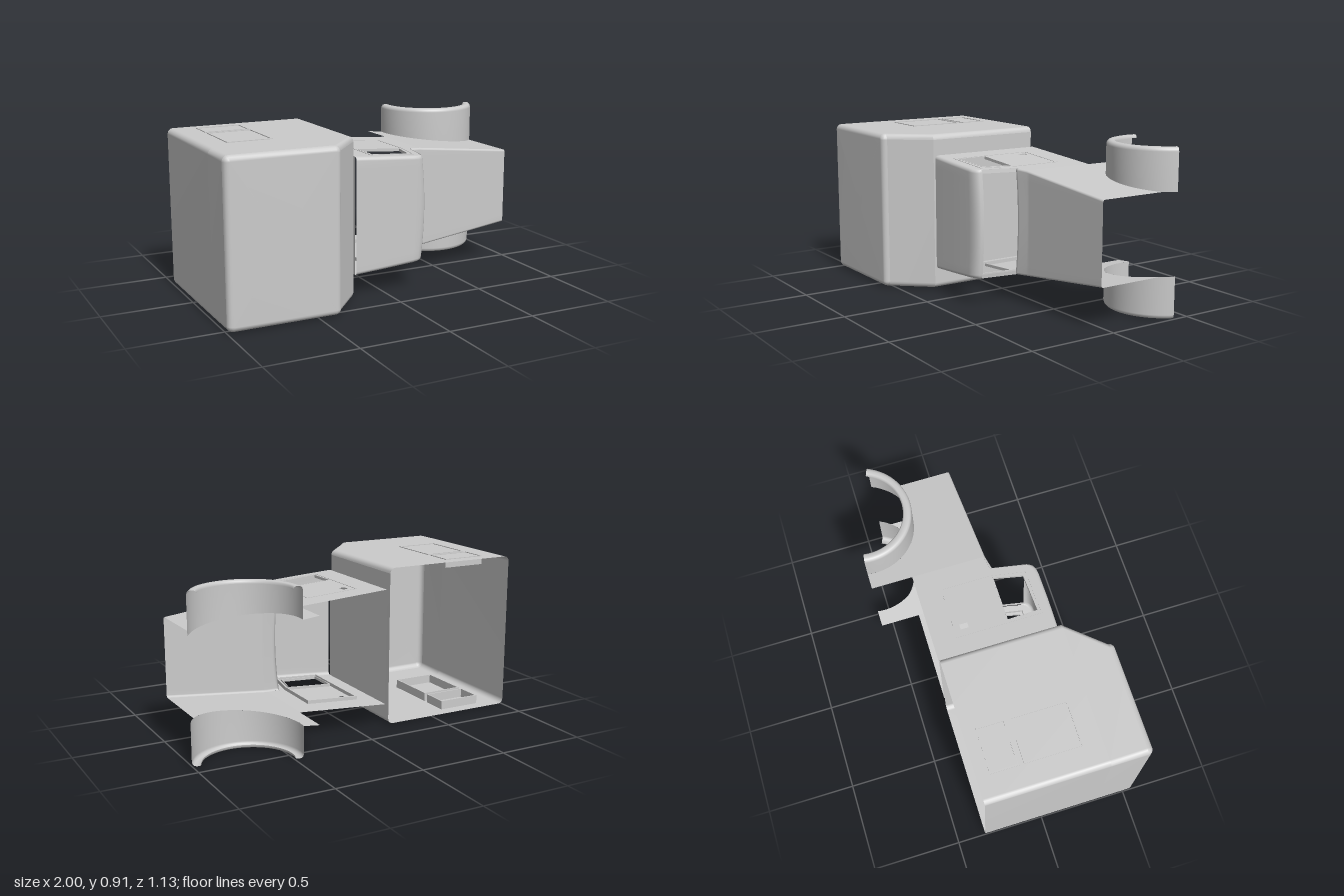
import * as THREE from 'three';

const MID = 0.457; // centre plane of the vehicle (it lies on its side, roof towards +z)
const mat = new THREE.MeshStandardMaterial({ color: 0xcccccc, side: THREE.DoubleSide });
const V = (x, y, z) => new THREE.Vector3(x, y, z);
const { lerp } = THREE.MathUtils;

// Half width of cab and bonnet at a given x
const halfWidth = (x) => x < 0.355 ? lerp(0.327, 0.29, (x + 0.18) / 0.535)
                                   : lerp(0.29, 0.223, (x - 0.355) / 0.605);

// Surface through rows of points, all rows equally long
function skin(rows) {
  const n = rows[0].length, index = [];
  for (let i = 0; i < rows.length - 1; i++) {
    for (let j = 0; j < n - 1; j++) {
      const a = i * n + j, b = a + n;
      index.push(a, a + 1, b, b, a + 1, b + 1);
    }
  }
  const geo = new THREE.BufferGeometry().setFromPoints(rows.flat());
  geo.setIndex(index);
  geo.computeVertexNormals();
  return geo;
}

// Rounded rectangle ring in the xy plane
function ring(x0, x1, half, r, z) {
  const pts = [];
  const corners = [[x1 - r, half - r], [x0 + r, half - r], [x0 + r, r - half], [x1 - r, r - half]];
  corners.forEach(([cx, cy], k) => {
    for (let i = 0; i <= 4; i++) {
      const a = (k + i / 4) * Math.PI / 2;
      pts.push(V(cx + r * Math.cos(a), MID - 0.002 + cy + r * Math.sin(a), z));
    }
  });
  pts.push(pts[0].clone());
  return pts;
}

// Row across the body with rounded shoulders; bow pushes the middle forward
function crossRow(x, z, bow, r) {
  const h = halfWidth(x), half = [];
  for (let i = 0; i <= 4; i++) {
    const a = i / 4 * Math.PI / 2;
    half.push([h - r + r * Math.cos(a), z - r + r * Math.sin(a)]);
  }
  for (const s of [0.8, 0.6, 0.4, 0.2]) half.push([h * s, z]);
  const all = [...half, [0, z], ...half.slice().reverse().map(([y, q]) => [-y, q])];
  return all.map(([y, q]) => V(x + bow * (1 - (y / h) ** 2), MID + y, q));
}

const polygon = (pts) => new THREE.Shape(pts.map(([x, z]) => new THREE.Vector2(x, z)));

// Lay an (x, z) drawing onto a side wall; drawing depth points inwards
function onSide(geo, side, width, lift = 0) {
  const p = geo.attributes.position;
  for (let i = 0; i < p.count; i++) {
    const x = p.getX(i), z = p.getY(i), d = p.getZ(i);
    p.setXYZ(i, x, MID + side * (width(x) + lift - d), z);
  }
  geo.computeVertexNormals();
  return geo;
}

// Thin upright rib following a closed outline
function rib(pts, depth, t = 0.01) {
  const cx = pts.reduce((s, p) => s + p[0], 0) / pts.length;
  const cz = pts.reduce((s, p) => s + p[1], 0) / pts.length;
  const shape = polygon(pts);
  shape.holes.push(polygon(pts.map(([x, z]) => [x - Math.sign(x - cx) * t, z - Math.sign(z - cz) * t])));
  return new THREE.ExtrudeGeometry(shape, { depth, bevelEnabled: false });
}

const rect = (x0, x1, z0, z1) => [[x0, z0], [x1, z0], [x1, z1], [x0, z1]];

export function createModel() {
  const model = new THREE.Group();
  const add = (name, geo) => {
    const mesh = new THREE.Mesh(geo, mat);
    mesh.name = name;
    model.add(mesh);
  };

  // Cargo box: open underneath, sloped front upper edge, rounded roof edge
  const R = 0.03;
  const rings = [ring(-1, -0.2, 0.445, R, -0.34), ring(-1, -0.2, 0.445, R, 0.33),
                 ring(-1, -0.2, 0.445, R, 0.33)];
  for (let i = 0; i <= 4; i++) {
    const a = i / 4 * Math.PI / 2, inset = R * (1 - Math.cos(a));
    const z = 0.56 - R + R * Math.sin(a);
    rings.push(ring(-1 + inset, -0.375 - inset, 0.445 - inset, R + 0.002 - inset, z));
    if (i === 0) rings.push(rings[rings.length - 1].map((p) => p.clone()));
  }
  rings.push(rings[0].map(() => V(-0.7, MID - 0.002, 0.56)));
  add('cargoBox', skin(rings));

  // Roof rolled down to the windscreen
  add('cabRoof', skin([[-0.18, 0.33, 0], [0, 0.335, 0], [0.17, 0.335, 0.01], [0.2, 0.331, 0.016],
    [0.222, 0.32, 0.02], [0.234, 0.305, 0.02], [0.237, 0.288, 0.02]]
    .map(([x, z, b]) => crossRow(x, z, b, 0.02))));

  // Cowl and bonnet
  add('bonnet', skin([[0.275, 0.085, 0.02], [0.278, 0.097, 0.02], [0.29, 0.095, 0.02],
    [0.355, 0.082, 0.01], [0.38, 0.08, 0], [0.96, 0.05, 0]]
    .map(([x, z, b]) => crossRow(x, z, b, 0.012))));

  // Cab rear wall
  add('cabRearWall', skin([0.31, -0.34].map((z) => [V(-0.18, MID - 0.327, z), V(-0.18, MID + 0.327, z)])));

  const door = [[-0.07, -0.21], [0.24, -0.21], [0.24, 0.08], [0.205, 0.275], [-0.07, 0.28]];
  const windowOutline = [[-0.055, 0.08], [0.217, 0.08], [0.182, 0.25], [-0.05, 0.26]];
  const handle = rect(-0.03, 0, -0.175, -0.13);
  const hatches = [rect(-0.86, -0.61, -0.27, -0.115), rect(-0.86, -0.61, -0.09, 0.225)];

  for (const side of [1, -1]) {
    const tag = side > 0 ? 'Upper' : 'Lower';

    // Cab side with window and handle openings
    const cab = polygon([[-0.18, -0.34], [0.355, -0.34], [0.355, 0.07], [0.275, 0.085],
      [0.237, 0.268], [0.234, 0.285], [0.222, 0.3], [0.2, 0.311], [0.17, 0.315], [0, 0.315], [-0.18, 0.31]]);
    cab.holes.push(polygon(windowOutline), polygon(handle));
    add('cabSide' + tag, onSide(new THREE.ShapeGeometry(cab), side, halfWidth));
    add('doorFrame' + tag, onSide(rib(door, 0.022), side, halfWidth, 0.002));
    add('windowFrame' + tag, onSide(rib(windowOutline, 0.016, 0.005), side, halfWidth, 0.001));

    // Windscreen pillar
    add('windscreenPillar' + tag, skin([[0.237, 0.29], [0.276, 0.085]].map(([x, z]) =>
      [1, 0.97, 0.93].map((s) => V(x + 0.02 * (1 - s * s), MID + side * s * halfWidth(x), z)))));

    // Bonnet side, cut out over the wheel
    const cx = 0.735, cz = -0.525, r = 0.29;
    const wing = polygon([[0.355, 0.07], [0.355, -0.57], [0.449, -0.57]]);
    wing.absarc(cx, cz, r, Math.PI + 0.155, 0.69, true);
    wing.lineTo(0.96, 0.038);
    add('bonnetSide' + tag, onSide(new THREE.ShapeGeometry(wing, 24), side, halfWidth));

    // Wheel arch: curved shell with a rolled outer lip
    const arch = [];
    for (let i = 0; i <= 32; i++) {
      const a = lerp(Math.PI + 0.155, 0.42, i / 32);
      const x = cx + r * Math.cos(a);
      const inner = halfWidth(Math.min(x, 0.96));
      const lip = [[r, inner], [r, 0.43], [r - 0.003, 0.442], [r - 0.011, 0.45],
        [r - 0.022, 0.453], [r - 0.04, 0.452], [r - 0.047, 0.446], [r - 0.048, 0.435]];
      arch.push(lip.map(([q, y]) => V(cx + q * Math.cos(a), MID + side * y, cz + q * Math.sin(a))));
    }
    add('wheelArch' + tag, skin(arch));

    // Hatch frames in the cargo box wall, standing inwards
    hatches.forEach((h, i) =>
      add('hatchFrame' + tag + (i + 1), onSide(rib(h, 0.05, 0.008), side, () => 0.445, 0.002)));
  }
  return model;
}
